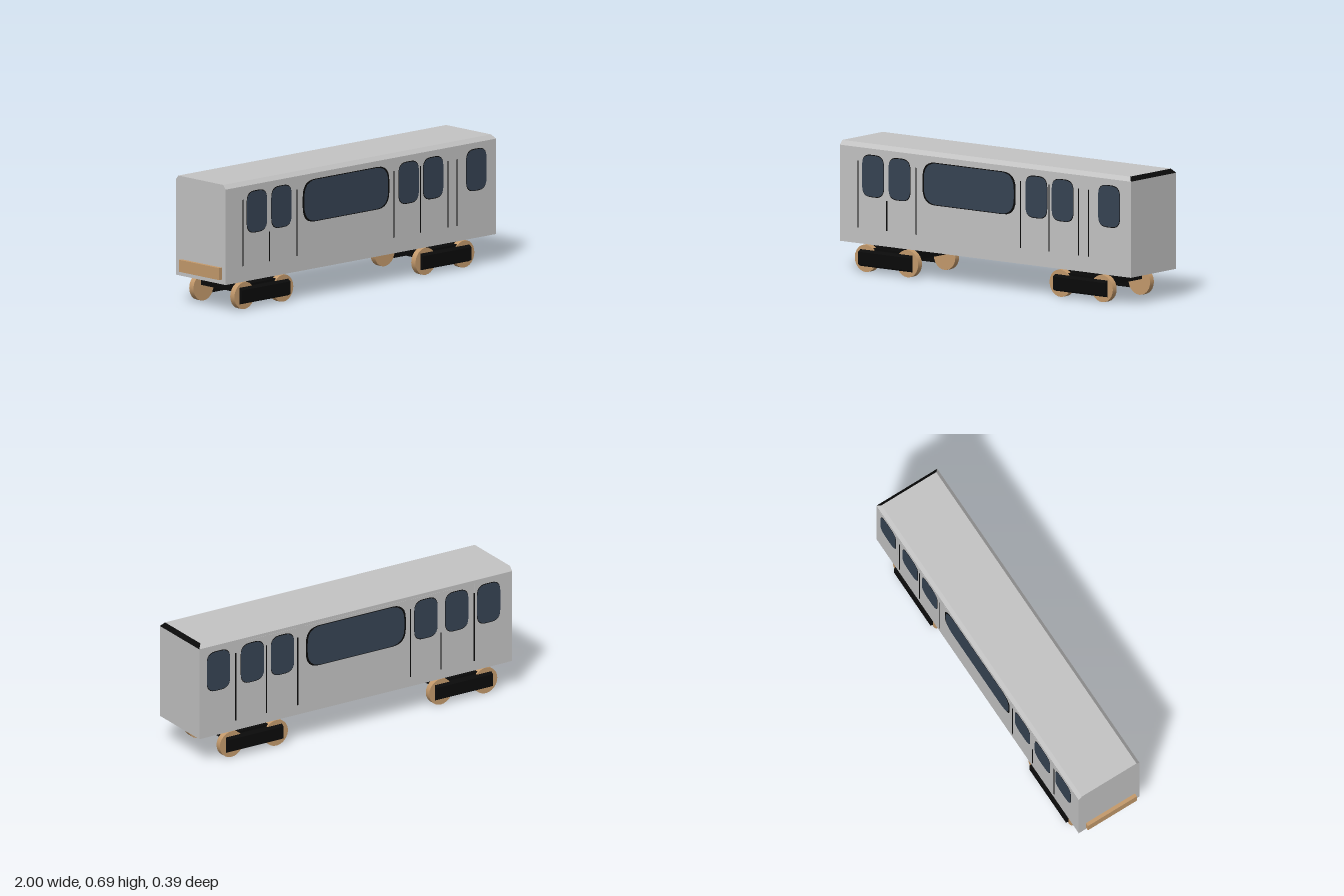
import * as THREE from 'three';

const flat = (name, color) => {
  const m = new THREE.MeshStandardMaterial({ color });
  m.name = name;
  return m;
};

export function createModel() {
  const steel = flat('steel grey', 0xc4c4c4);
  const black = flat('black', 0x0a0a0a);
  const glass = flat('blue glass', 0x364353);
  const tan = flat('tan', 0xc49a6c);
  const train = new THREE.Group();
  train.name = 'railCar';

  const add = (parent, name, geo, mat, x = 0, y = 0, z = 0) => {
    const mesh = new THREE.Mesh(geo, mat);
    mesh.name = name;
    mesh.position.set(x, y, z);
    parent.add(mesh);
    return mesh;
  };
  const box = (parent, name, mat, x0, x1, y0, y1, z0, z1) =>
    add(parent, name, new THREE.BoxGeometry(x1 - x0, y1 - y0, z1 - z0), mat,
      (x0 + x1) / 2, (y0 + y1) / 2, (z0 + z1) / 2);
  const polygon = (points) => new THREE.Shape(points.map(([x, y]) => new THREE.Vector2(x, y)));
  const extrude = (shape, depth) =>
    new THREE.ExtrudeGeometry(shape, { depth, bevelEnabled: false, curveSegments: 6 }).translate(0, 0, -depth / 2);
  const quads = (list) => {
    const pos = list.flatMap(([a, b, c, d]) => [a, b, c, a, c, d].flat());
    const geo = new THREE.BufferGeometry();
    geo.setAttribute('position', new THREE.Float32BufferAttribute(pos, 3));
    geo.computeVertexNormals();
    return geo;
  };

  // Body shell
  box(train, 'body', steel, -0.98, 1, 0.155, 0.672, -0.19, 0.195);

  // Roof with sloped edges and a black sloped end
  const ring = (y, x1, zf, zb) => [[-0.98, y, zf], [x1, y, zf], [x1, y, zb], [-0.98, y, zb]];
  const b = ring(0.672, 1, 0.195, -0.19);
  const t = ring(0.695, 0.98, 0.175, -0.17);
  const side = (i) => [b[i], b[(i + 1) % 4], t[(i + 1) % 4], t[i]];
  add(train, 'roof', quads([side(0), side(2), side(3), t]), steel);
  add(train, 'roofEnd', quads([side(1)]), black);

  // Bumper board on the left-hand end of the front elevation
  box(train, 'bumper', tan, -1, -0.98, 0.18, 0.245, -0.145, 0.165);

  // Rounded plates for the glass
  const rounded = (w, h, r) => {
    const s = new THREE.Shape();
    const x = w / 2, y = h / 2;
    s.moveTo(-x + r, -y);
    s.lineTo(x - r, -y).quadraticCurveTo(x, -y, x, -y + r);
    s.lineTo(x, y - r).quadraticCurveTo(x, y, x - r, y);
    s.lineTo(-x + r, y).quadraticCurveTo(-x, y, -x, y - r);
    s.lineTo(-x, -y + r).quadraticCurveTo(-x, -y, -x + r, -y);
    return s;
  };
  const sides = [
    { name: 'front', z: 0.195, dir: 1, small: [-0.753, -0.573, 0.358, 0.537, 0.853], large: -0.1,
      seams: [[-0.855, 0.6], [-0.66, 0.4], [-0.46, 0.6], [0.25, 0.6], [0.445, 0.6], [0.645, 0.6], [0.713, 0.6]], low: 0.24 },
    { name: 'back', z: -0.19, dir: -1, small: [0.88, 0.665, 0.475, -0.433, -0.628, -0.83], large: 0.01,
      seams: [[0.77, 0.6], [0.575, 0.6], [0.378, 0.6], [-0.335, 0.6], [-0.53, 0.42], [-0.74, 0.6]], low: 0.21 },
  ];
  for (const s of sides) {
    const pane = (x, w, h, r, rim) => {
      add(train, s.name + 'WindowRim', extrude(rounded(w + rim, h + 0.008, r), 0.004), black, x, 0.525, s.z);
      add(train, s.name + 'Window', extrude(rounded(w, h, r), 0.008), glass, x, 0.525, s.z);
    };
    for (const x of s.small) pane(x, 0.145, 0.22, 0.055, 0.002);
    pane(s.large, 0.61, 0.222, 0.085, 0.022);
    // Door seams
    for (const [x, top] of s.seams)
      box(train, s.name + 'DoorSeam', black, x - 0.003, x + 0.003, s.low, top, s.z - 0.002, s.z + 0.002);
    // Window surround panels on the back
    if (s.dir < 0) {
      for (const x of s.small) box(train, 'windowPanel', steel, x - 0.09, x + 0.09, 0.395, 0.655, s.z - 0.001, s.z);
      box(train, 'windowPanel', steel, s.large - 0.325, s.large + 0.325, 0.395, 0.655, s.z - 0.001, s.z);
    }
  }

  // Wheel trucks
  const wheelGeo = new THREE.CylinderGeometry(0.0735, 0.0735, 0.033, 24).rotateX(Math.PI / 2);
  const frameGeo = extrude(polygon([[-0.162, 0.03], [-0.162, 0.12], [-0.174, 0.12], [-0.192, 0.108], [-0.192, 0.041], [-0.174, 0.03]]), 0.355)
    .rotateY(Math.PI / 2);
  const bolsterGeo = extrude(polygon([[-0.075, 0.125], [0.075, 0.125], [0.105, 0.156], [-0.105, 0.156]]), 0.23);
  for (const x of [-0.68, 0.645]) {
    const truck = new THREE.Group();
    truck.name = 'truck';
    truck.position.x = x;
    train.add(truck);
    box(truck, 'truckPlate', black, -0.16, 0.16, 0.087, 0.131, -0.165, 0.165);
    add(truck, 'bolster', bolsterGeo, black);
    add(truck, 'sideFrame', frameGeo, black);
    add(truck, 'sideFrame', frameGeo, black).rotation.y = Math.PI;
    for (const wx of [-0.142, 0.142])
      for (const wz of [-0.159, 0.157]) add(truck, 'wheel', wheelGeo, tan, wx, 0.0735, wz);
  }
  return train;
}
